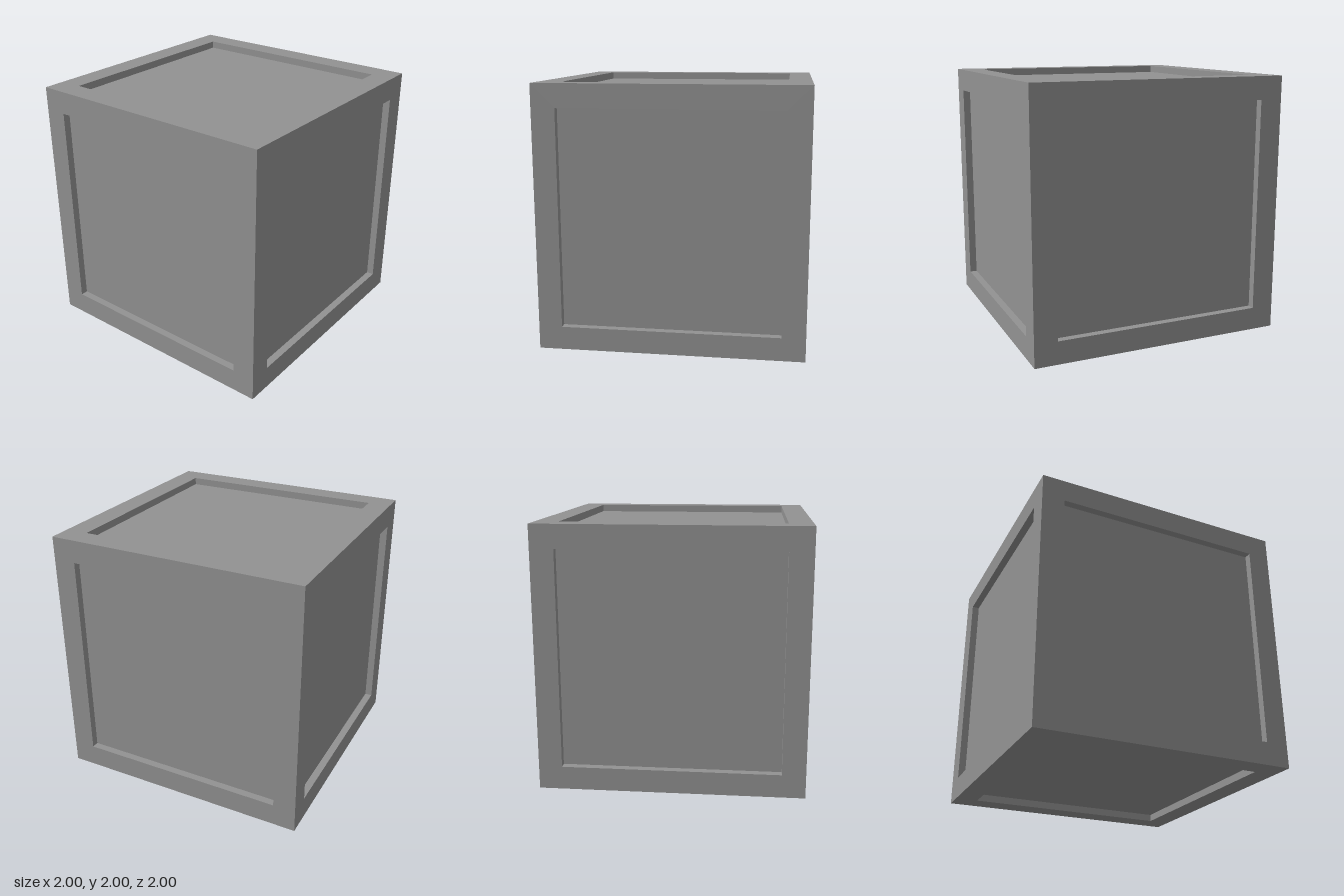
import * as THREE from 'three';
import { mergeGeometries } from 'three/addons/utils/BufferGeometryUtils.js';

const HALF = 1;        // half the cube's edge
const OPENING = 0.823; // half the recess opening
const DEPTH = 0.057;   // recess depth

function square(Type, h) {
  return new Type([
    new THREE.Vector2(-h, -h), new THREE.Vector2(h, -h),
    new THREE.Vector2(h, h), new THREE.Vector2(-h, h),
  ]);
}

// Flat border around the opening, facing +z
function borderGeometry() {
  const shape = square(THREE.Shape, HALF);
  shape.holes.push(square(THREE.Path, OPENING));
  return new THREE.ShapeGeometry(shape).translate(0, 0, HALF);
}

// Four inward-facing walls of the recess
function wallsGeometry() {
  const walls = [];
  for (let i = 0; i < 4; i++) {
    walls.push(new THREE.PlaneGeometry(2 * OPENING, DEPTH)
      .rotateX(Math.PI / 2)
      .translate(0, OPENING, HALF - DEPTH / 2)
      .rotateZ(i * Math.PI / 2));
  }
  return mergeGeometries(walls);
}

export function createModel() {
  const crate = new THREE.Group();
  crate.name = 'crate';
  const material = new THREE.MeshStandardMaterial({ color: 0x929292 });

  const parts = {
    border: borderGeometry(),
    recessWalls: wallsGeometry(),
    panel: new THREE.PlaneGeometry(2 * OPENING, 2 * OPENING).translate(0, 0, HALF - DEPTH),
  };

  // The same recessed side, turned to all six directions
  const q = Math.PI / 2;
  const sides = {
    front: [0, 0], left: [0, q], back: [0, 2 * q], right: [0, -q],
    top: [-q, 0], bottom: [q, 0],
  };
  for (const [side, [rx, ry]] of Object.entries(sides)) {
    const group = new THREE.Group();
    group.name = `${side}Side`;
    for (const [part, geometry] of Object.entries(parts)) {
      const mesh = new THREE.Mesh(geometry, material);
      mesh.name = part;
      group.add(mesh);
    }
    group.rotation.set(rx, ry, 0);
    group.position.y = HALF;
    crate.add(group);
  }
  return crate;
}
